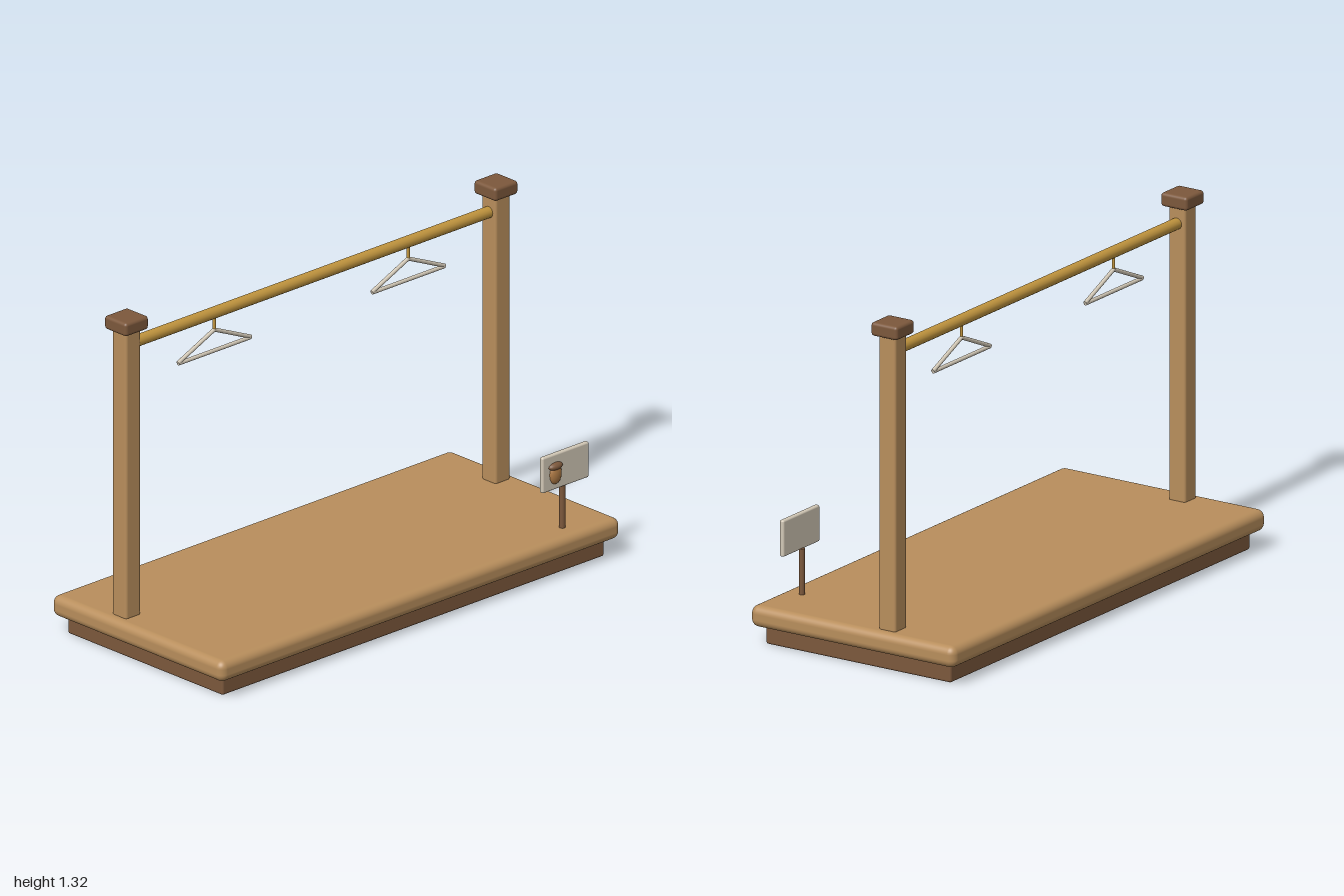
import * as THREE from 'three';
import { RoundedBoxGeometry } from 'three/addons/geometries/RoundedBoxGeometry.js';

const material = (name, color) => new THREE.MeshStandardMaterial({ name, color });

export function createModel() {
  const wood = material('light wood', 0xb88e5c);
  const darkWood = material('dark wood', 0x7c583c);
  const brass = material('brass', 0xc0943e);
  const cream = material('cream', 0xd2c8b6);
  const nutBrown = material('nut brown', 0xae7a45);

  const model = new THREE.Group();
  model.name = 'clothesRack';

  const add = (name, geometry, mat, x, y, z, parent = model) => {
    const mesh = new THREE.Mesh(geometry, mat);
    mesh.name = name;
    mesh.position.set(x, y, z);
    parent.add(mesh);
    return mesh;
  };
  const box = (w, h, d, r) => new RoundedBoxGeometry(w, h, d, 4, r);

  // Straight round bar between two points
  const bar = (name, a, b, radius, mat, parent) => {
    const from = new THREE.Vector3(...a), to = new THREE.Vector3(...b);
    const dir = to.clone().sub(from);
    const mid = from.clone().add(to).multiplyScalar(0.5);
    const mesh = add(name, new THREE.CylinderGeometry(radius, radius, dir.length(), 16), mat, mid.x, mid.y, mid.z, parent);
    mesh.quaternion.setFromUnitVectors(new THREE.Vector3(0, 1, 0), dir.normalize());
    return mesh;
  };

  // Platform
  add('plinth', box(1.91, 0.07, 0.814, 0.009), darkWood, 0, 0.035, 0);
  add('platform', box(2, 0.082, 0.9, 0.03), wood, 0, 0.11, 0);

  // Posts with caps, and a hanger on each half of the rail
  const railZ = -0.13, railY = 1.207;
  for (const side of [-1, 1]) {
    const prefix = side > 0 ? 'left' : 'right';
    add(prefix + 'Post', box(0.074, 1.13, 0.074, 0.01), wood, side * 0.924, 0.71, railZ);
    add(prefix + 'PostCap', box(0.116, 0.052, 0.116, 0.012), darkWood, side * 0.924, 1.294, railZ);

    const hanger = new THREE.Group();
    hanger.name = prefix + 'Hanger';
    hanger.position.set(side * 0.485, 0, railZ);
    model.add(hanger);
    bar('hook', [0, 1.14, 0], [0, 1.2, 0], 0.006, brass, hanger);
    bar('crossbar', [-0.18, 1.058, 0], [0.18, 1.058, 0], 0.0075, cream, hanger);
    for (const s of [-1, 1])
      bar('shoulder', [0, 1.14, 0], [s * 0.182, 1.06, 0], 0.0075, cream, hanger);
  }
  bar('rail', [-0.9, railY, railZ], [0.9, railY, railZ], 0.022, brass);

  // Sign on a stake
  bar('signStake', [0.782, 0.14, 0.367], [0.782, 0.325, 0.367], 0.0115, darkWood);
  add('signBoard', box(0.232, 0.139, 0.02, 0.007), cream, 0.781, 0.39, 0.378);

  // Acorn emblem
  const ball = new THREE.SphereGeometry(1, 24, 16);
  add('acornNut', ball, nutBrown, 0.727, 0.383, 0.388).scale.set(0.028, 0.04, 0.017);
  add('acornCap', ball, darkWood, 0.727, 0.413, 0.388).scale.set(0.033, 0.015, 0.019);

  return model;
}
